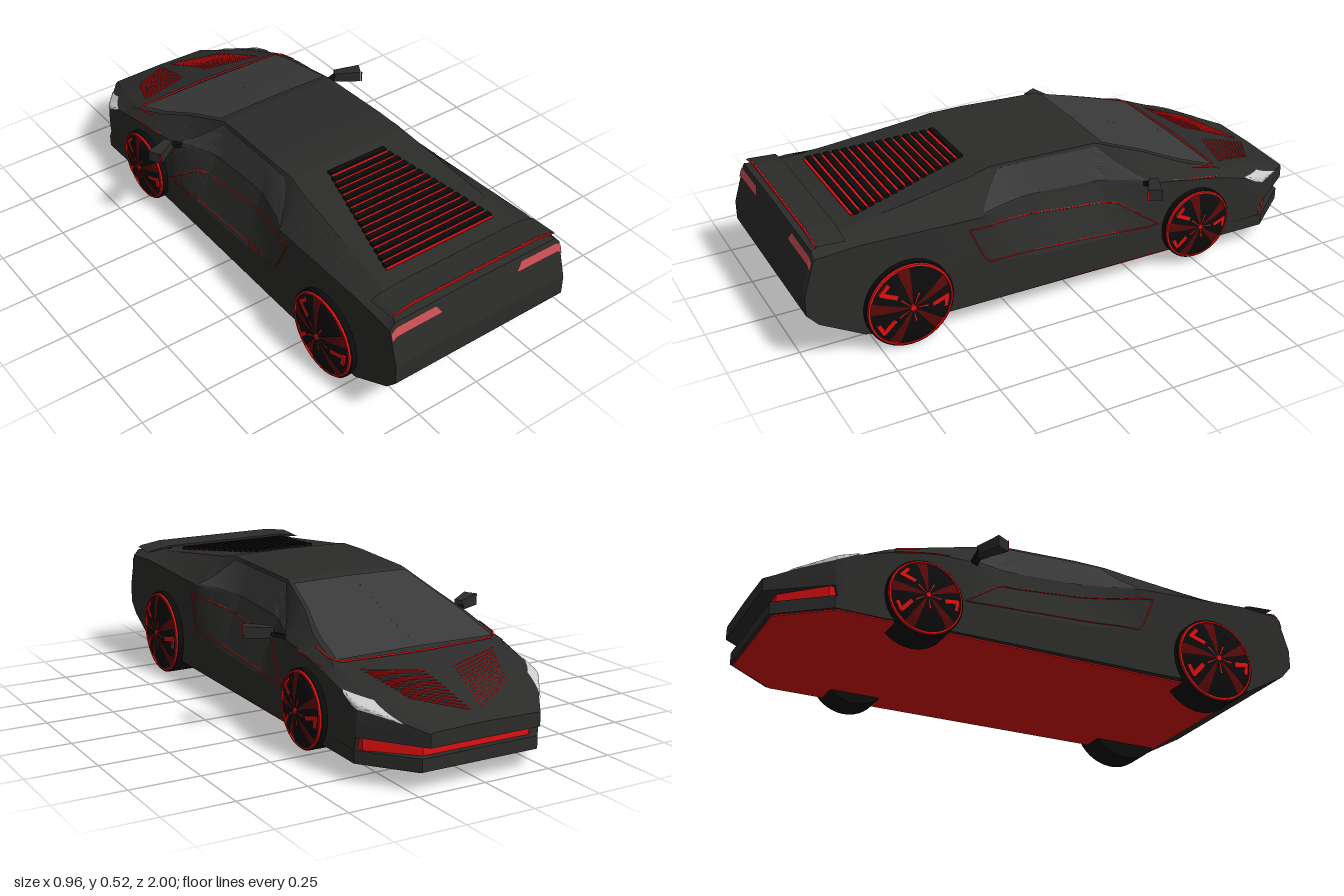
import * as THREE from 'three';

const paint = color => new THREE.MeshStandardMaterial({ color, flatShading: true, side: THREE.DoubleSide });
const DARK = paint(0x2b2b2a), GLASS = paint(0x3a3a3a), BLACK = paint(0x0c0c0c);
const RED = paint(0xe01010), DEEP = paint(0x5a0808);
const LAMP = paint(0xcccccc), TAIL = paint(0xc85054);
const { lerp } = THREE.MathUtils;

// Half cross-section: floor centre, sill, flank, shoulder, roof edge, crown
const section = (z, half, floorY, flankY, shoulderX, shoulderY, roofX, roofY) => [
  [0, floorY], [half, floorY], [half, flankY], [shoulderX, shoulderY], [roofX, roofY], [0, roofY + .004],
].map(([x, y]) => new THREE.Vector3(x, y, z));

// Stations from tail (+z) to nose (-z)
const STATIONS = [
  section(1.0, .36, .21, .25, .36, .28, .34, .285),
  section(.96, .36, .165, .26, .36, .41, .34, .433),
  section(.80, .36, .075, .27, .36, .42, .28, .45),
  section(.36, .36, .07, .25, .35, .40, .25, .505),
  section(.28, .36, .07, .22, .315, .395, .24, .52),
  section(.15, .36, .07, .20, .28, .39, .24, .52),
  section(-.14, .36, .07, .19, .28, .37, .235, .51),
  section(-.32, .36, .07, .20, .345, .355, .27, .448),
  section(-.45, .36, .07, .22, .36, .345, .31, .395),
  section(-.62, .36, .065, .22, .36, .31, .33, .335),
  section(-.78, .36, .065, .20, .355, .262, .275, .285),
  section(-.80, .355, .15, .20, .35, .255, .27, .279),
  section(-1.0, .21, .15, .17, .21, .195, .20, .20),
];

const blend = (a, b, f) => a.map((p, k) => p.clone().lerp(b[k], f));
// Point on a section, t running from 0 (floor centre) to 5 (crown)
function onSection(s, t) {
  const k = Math.min(4, Math.floor(t));
  return s[k].clone().lerp(s[k + 1], t - k);
}
function sectionAt(z) {
  const i = STATIONS.findIndex(s => s[0].z <= z);
  if (i < 0) return STATIONS[STATIONS.length - 1];
  if (i === 0) return STATIONS[0];
  const a = STATIONS[i - 1], b = STATIONS[i];
  return blend(a, b, (a[0].z - z) / (a[0].z - b[0].z));
}
// Skin point lifted along its normal, mirrored by side
function skin([z, t], lift, side) {
  const at = (zz, tt) => onSection(sectionAt(zz), tt), e = .004;
  const dz = at(z - e, t).sub(at(z + e, t)), k = Math.min(4, Math.floor(t));
  const dt = at(z, k + 1).sub(at(z, k));
  const p = at(z, t).addScaledVector(dz.cross(dt).normalize(), lift);
  p.x *= side;
  return p;
}
// Skin coordinates from side view (z, y) or top view (x, z)
function fromSide([z, y]) {
  const s = sectionAt(z);
  let t = 1;
  while (t < 5 && onSection(s, t).y < y) t += .01;
  return [z, t];
}
function fromTop([x, z]) {
  const s = sectionAt(z), roof = s[4].x;
  return [z, x <= roof ? 5 - x / roof : 4 - Math.min(1, (x - roof) / (s[3].x - roof))];
}

function mesh(parent, name, geo, mat, x = 0, y = 0, z = 0) {
  const m = new THREE.Mesh(geo, mat);
  m.name = name;
  m.position.set(x, y, z);
  parent.add(m);
  return m;
}
// Surface through rows of points
function grid(rows) {
  const pos = rows.flat().flatMap(p => p.toArray()), idx = [], n = rows[0].length;
  for (let i = 0; i < rows.length - 1; i++) for (let j = 0; j < n - 1; j++) {
    const a = i * n + j, b = a + n;
    idx.push(a, b, a + 1, b, b + 1, a + 1);
  }
  const g = new THREE.BufferGeometry();
  g.setAttribute('position', new THREE.Float32BufferAttribute(pos, 3));
  g.setIndex(idx);
  g.computeVertexNormals();
  return g;
}
const between = (p, q, f) => [lerp(p[0], q[0], f), lerp(p[1], q[1], f)];
// Four-cornered panel lying on the skin
function panel(parent, name, mat, [a, b, c, d], side) {
  const steps = Array.from({ length: 11 }, (_, i) => i / 10);
  const rows = steps.map(u => steps.map(v => skin(between(between(a, b, u), between(d, c, u), v), .004, side)));
  mesh(parent, name, grid(rows), mat);
}
// Thin red line on the skin, straight as seen in the view that map converts from
function trim(parent, name, points, map, side, radius) {
  const pts = [skin(map(points[0]), .002, side)];
  points.slice(1).forEach((b, i) => {
    for (let k = 1; k <= 10; k++) pts.push(skin(map(between(points[i], b, k / 10)), .002, side));
  });
  mesh(parent, name, new THREE.TubeGeometry(new THREE.CatmullRomCurve3(pts), pts.length, radius, 4), RED);
}
// Symmetric top-view outline extruded from y0 to y1
function slab(parent, name, half, y0, y1, mat) {
  const all = [...half, ...half.map(([x, z]) => [-x, z]).reverse()];
  const g = new THREE.ExtrudeGeometry(new THREE.Shape(all.map(([x, z]) => new THREE.Vector2(x, -z))),
    { depth: y1 - y0, bevelEnabled: false });
  mesh(parent, name, g.rotateX(-Math.PI / 2), mat, 0, y0);
}

function makeWheel(R) {
  const w = new THREE.Group(), spin = new THREE.Group(), V = (x, y) => new THREE.Vector2(x, y);
  spin.rotation.z = -Math.PI / 2;
  w.add(spin);
  mesh(spin, 'tyre', new THREE.CylinderGeometry(R, R, .115, 40), BLACK, 0, -.0575);
  const dome = k => [V(.92 * R, .002 + k), V(.7 * R, .012 + k), V(.35 * R, .02 + k), V(.001, .022 + k)];
  mesh(spin, 'rimDish', new THREE.LatheGeometry(dome(0), 40), DEEP);
  mesh(spin, 'rimRing', new THREE.LatheGeometry([V(.97 * R, 0), V(.96 * R, .007), V(.92 * R, .008), V(.91 * R, 0)], 40), RED);
  mesh(spin, 'hub', new THREE.CylinderGeometry(.07 * R, .08 * R, .008, 10), RED, 0, .025);
  for (let i = 0; i < 5; i++) {
    const a = i * Math.PI * 2 / 5;
    mesh(spin, 'blade', new THREE.LatheGeometry(dome(.003), 6, a, .95), BLACK);
    mesh(spin, 'bladeEdge', new THREE.LatheGeometry(dome(.0035).slice(2), 1, a + .45, .1), RED);
  }
  // Three bent red spoke accents
  for (let i = 0; i < 3; i++) {
    const arm = new THREE.Group();
    arm.name = 'spoke';
    arm.rotation.y = i * Math.PI * 4 / 5 + .5;
    spin.add(arm);
    const bar = mesh(arm, 'spokeAccent', new THREE.BoxGeometry(.1 * R, .006, .38 * R), RED, .06 * R, .015, .63 * R);
    bar.rotation.set(.15, .35, 0);
    mesh(arm, 'spokeTip', new THREE.BoxGeometry(.3 * R, .006, .09 * R), RED, .02 * R, .011, .8 * R);
  }
  return w;
}

function makeMirror() {
  const g = new THREE.Group();
  const shell = new THREE.BoxGeometry(.1, .042, .052), p = shell.attributes.position;
  // Taper and drop towards the door
  for (let i = 0; i < p.count; i++) if (p.getX(i) < 0) p.setXYZ(i, p.getX(i), p.getY(i) * .85 - .004, p.getZ(i) * .6);
  shell.computeVertexNormals();
  mesh(g, 'mirrorShell', shell, DARK, .422, .383, -.275).rotation.y = -.5;
  mesh(g, 'mirrorStalk', new THREE.BoxGeometry(.07, .014, .025), BLACK, .36, .365, -.3).rotation.z = .3;
  mesh(g, 'mirrorTrim', new THREE.BoxGeometry(.003, .04, .004), RED, .458, .383, -.228);
  return g;
}

export function createModel() {
  const car = new THREE.Group();
  car.name = 'sportsCar';

  // Body shell, with end stations flattened to close tail and nose
  const flatten = s => s.map(p => new THREE.Vector3(p.x, s[2].y, p.z));
  const loft = [flatten(STATIONS[0]), ...STATIONS, flatten(STATIONS[STATIONS.length - 1])];
  const rows = [], ts = Array.from({ length: 21 }, (_, k) => k / 4);
  for (let i = 0; i <= (loft.length - 1) * 4; i++) {
    const k = Math.min(loft.length - 2, Math.floor(i / 4)), s = blend(loft[k], loft[k + 1], i / 4 - k);
    const half = ts.map(t => onSection(s, t));
    rows.push([...half, ...half.slice(0, -1).reverse().map(p => new THREE.Vector3(-p.x, p.y, p.z))]);
  }
  mesh(car, 'body', grid(rows), DARK);

  // Floor, lower bumper and front intake
  slab(car, 'floor', [[.345, .78], [.355, -.79], [.22, -.965]], .061, .066, RED);
  slab(car, 'lowerBumper', [[.36, -.64], [.362, -.8], [.222, -.975]], .0655, .11, DARK);
  slab(car, 'frontIntake', [[.345, -.79], [.34, -.815], [.205, -.95]], .109, .151, RED);

  for (const side of [1, -1]) {
    // Glass and lamps
    panel(car, 'windscreen', GLASS, [[-.17, 4.04], [-.60, 4.06], [-.60, 5], [-.17, 5]], side);
    panel(car, 'sideWindow', GLASS, [[.36, 3.06], [-.30, 3.1], [-.14, 3.92], [.25, 3.92]], side);
    panel(car, 'headlight', LAMP, [[-.71, 3.05], [-.80, 2.75], [-.93, 2.95], [-.81, 3.6]], side);
    panel(car, 'tailLight', TAIL, [[.964, 3.05], [.973, 3.05], [.973, 4.54], [.964, 4.47]], side);

    // Red trim lines
    trim(car, 'cowlTrim', [[0, -.625], [.30, -.61], [.325, -.58], [.325, -.50]], fromTop, side, .0035);
    trim(car, 'doorTrim', [[.41, .365], [-.19, .30], [-.34, .19], [.35, .23], [.41, .365]], fromSide, side, .002);
    trim(car, 'fenderTrim', [[-.40, .352], [-.60, .32]], fromSide, side, .002);

    // Bonnet vent slats
    for (let i = 0; i < 12; i++) {
      const f = i / 11, inner = [lerp(.055, .02, f), lerp(-.73, -.94, f)];
      trim(car, 'bonnetSlat', [inner, [lerp(.26, .19, f), lerp(-.665, -.84, f)]], fromTop, side, .0026);
    }

    // Mirrors
    const mirror = makeMirror();
    mirror.name = 'wingMirror';
    mirror.scale.x = side;
    car.add(mirror);

    // Wheels
    for (const [name, z, R] of [['rearWheel', .645, .16], ['frontWheel', -.495, .137]]) {
      const w = makeWheel(R);
      w.name = name;
      w.position.set(side * .38, .16, z);
      if (side < 0) w.rotation.y = Math.PI;
      car.add(w);
    }
    mesh(car, 'wingPost', new THREE.BoxGeometry(.015, .03, .05), BLACK, side * .24, .44, .885);
  }

  // Engine cover louvres, each slat hiding most of the red strip behind it
  for (let i = 0; i < 15; i++) {
    const f = i / 14, z = lerp(.33, .76, f), w = lerp(.24, .45, f), y = sectionAt(z)[5].y;
    mesh(car, 'louvre', new THREE.BoxGeometry(w, .012, .02), BLACK, 0, y + .003, z);
    mesh(car, 'louvreTrim', new THREE.BoxGeometry(w, .004, .01), RED, 0, y - .001, z + .014);
  }

  // Rear wing with red trailing edge
  const wing = depth => new THREE.ExtrudeGeometry(new THREE.Shape(
    [[-.345, 0], [-.25, .012], [.25, .012], [.345, 0], [.33, .007], [.25, .019], [-.25, .019], [-.33, .007]]
      .map(([x, y]) => new THREE.Vector2(x, y))), { depth, bevelEnabled: false });
  mesh(car, 'rearWing', wing(.10), DARK, 0, .44, .845).rotation.x = -.06;
  mesh(car, 'wingTrim', wing(.006), RED, 0, .445, .943);
  return car;
}
